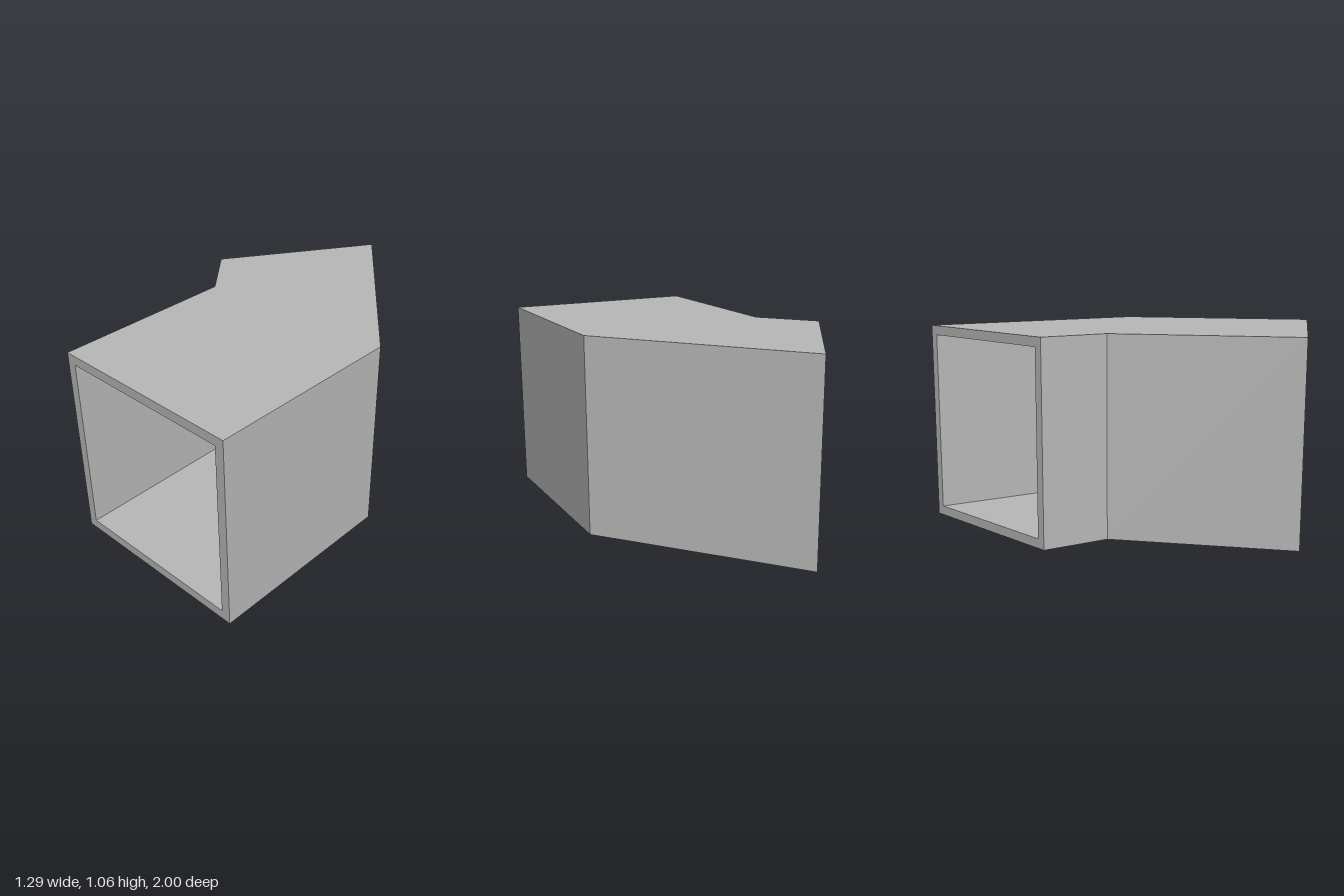
import * as THREE from 'three';

const HEIGHT = 1.06, WALL = 0.05, RIM = 0.0475; // RIM: side wall as a share of the width

// Plan of the duct, front to back: the two outer wall points [x, z] of each section
const SECTIONS = [
  { a: [-0.414, 1], b: [0.642, 1] },
  { a: [-0.414, 0.028], b: [0.642, -0.058] },
  { a: [-0.645, -0.245], b: [-0.142, -1] },
];

// Four corners of a section, counter-clockwise from the front
function ring({ a, b }, inset, wall) {
  const at = (t, y) => new THREE.Vector3(
    THREE.MathUtils.lerp(a[0], b[0], t), y, THREE.MathUtils.lerp(a[1], b[1], t));
  return [at(inset, wall), at(1 - inset, wall), at(1 - inset, HEIGHT - wall), at(inset, HEIGHT - wall)];
}

function facesMesh(name, quads, material) {
  const points = quads.flatMap(([p, q, r, s]) => [p, q, r, p, r, s]);
  const geometry = new THREE.BufferGeometry().setFromPoints(points);
  geometry.computeVertexNormals();
  const mesh = new THREE.Mesh(geometry, material);
  mesh.name = name;
  return mesh;
}

export function createModel() {
  const grey = new THREE.MeshStandardMaterial({ color: 0xb8b8b8 });
  grey.name = 'plain grey';

  const outer = SECTIONS.map((s) => ring(s, 0, 0));
  const inner = SECTIONS.map((s) => ring(s, RIM, WALL));
  const shell = [], lining = [], frontRim = [], backRim = [];
  const last = SECTIONS.length - 1;

  for (let i = 0; i < 4; i++) {
    const j = (i + 1) % 4;
    // Long faces outside and inside
    for (let s = 0; s < last; s++) {
      shell.push([outer[s][i], outer[s + 1][i], outer[s + 1][j], outer[s][j]]);
      lining.push([inner[s][j], inner[s + 1][j], inner[s + 1][i], inner[s][i]]);
    }
    // Rims closing the wall thickness at both openings
    frontRim.push([outer[0][i], outer[0][j], inner[0][j], inner[0][i]]);
    backRim.push([inner[last][i], inner[last][j], outer[last][j], outer[last][i]]);
  }

  const group = new THREE.Group();
  group.name = 'bentDuct';
  group.add(
    facesMesh('outerShell', shell, grey),
    facesMesh('innerLining', lining, grey),
    facesMesh('frontRim', frontRim, grey),
    facesMesh('backRim', backRim, grey),
  );
  return group;
}
